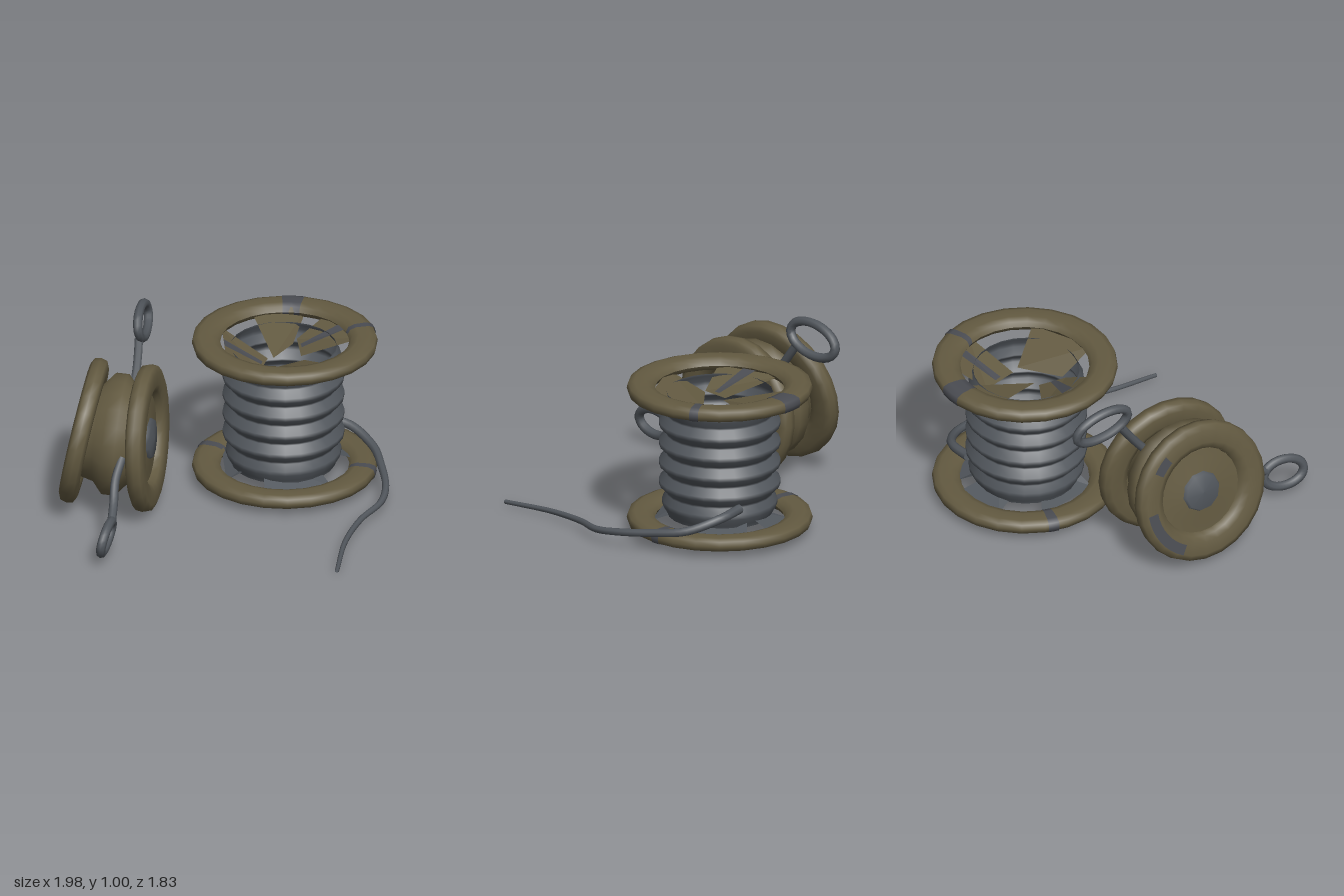
import * as THREE from 'three';

const V = (x, y, z) => new THREE.Vector3(x, y, z);
const P = (a) => a.map(([r, y]) => new THREE.Vector2(r, y));

export function createModel() {
  const model = new THREE.Group();
  const mat = (name, color) => {
    const m = new THREE.MeshStandardMaterial({ color, side: THREE.DoubleSide });
    m.name = name;
    return m;
  };
  const olive = mat('olive brass', 0x635a41);
  const grey = mat('steel grey', 0x51565c);
  const slate = mat('slate patch', 0x4a4c52);

  const add = (parent, name, geo, material) => {
    const m = new THREE.Mesh(geo, material);
    m.name = name;
    parent.add(m);
    return m;
  };

  // Closed rounded rim profile, starting on the inner face
  const rim = (ro, ri, h) => P([
    [ri, 0], [ri + 0.015, -h * 0.7], [ri + 0.05, -h], [ro - 0.04, -h], [ro - 0.008, -h * 0.7], [ro, 0],
    [ro - 0.008, h * 0.7], [ro - 0.04, h], [ri + 0.05, h], [ri + 0.015, h * 0.7], [ri, 0]]);

  // Flat four-cornered plate, facing up (1) or down (-1)
  const plate = (pts, dir) => {
    const n = pts[1].clone().sub(pts[0]).cross(pts[2].clone().sub(pts[0]));
    const p = n.y * dir < 0 ? [...pts].reverse() : pts;
    const g = new THREE.BufferGeometry().setFromPoints([p[0], p[1], p[2], p[0], p[2], p[3]]);
    g.computeVertexNormals();
    return g;
  };

  // Tube whose radius narrows along its length
  const taperTube = (pts, r0, r1, seg = 40) => {
    const curve = new THREE.CatmullRomCurve3(pts);
    const sides = 8;
    const g = new THREE.TubeGeometry(curve, seg, r0, sides);
    const pos = g.attributes.position, v = V(0, 0, 0);
    for (let i = 0; i <= seg; i++) {
      const c = curve.getPointAt(i / seg);
      const k = THREE.MathUtils.lerp(1, r1 / r0, i / seg);
      for (let j = 0; j <= sides; j++) {
        const id = i * (sides + 1) + j;
        v.fromBufferAttribute(pos, id).sub(c).multiplyScalar(k).add(c);
        pos.setXYZ(id, v.x, v.y, v.z);
      }
    }
    return g;
  };

  // Upright spool
  const spool = new THREE.Group();
  spool.name = 'spool';
  spool.position.set(0.48, 0, -0.26);
  model.add(spool);

  const rimProfile = rim(0.507, 0.352, 0.038);
  const patchProfile = rim(0.509, 0.35, 0.04);
  [['top', 0.815, [[2.36, 0.26], [1.24, 0.1]]], ['bottom', 0.068, [[0.75, 0.1], [3.7, 0.12]]]].forEach(([n, y, patches]) => {
    const r = add(spool, n + 'Rim', new THREE.LatheGeometry(rimProfile, 24), olive);
    r.position.y = y;
    patches.forEach(([start, len]) => {
      add(r, n + 'RimPatch', new THREE.LatheGeometry(patchProfile, 2, start, len), slate);
    });
  });

  // Ridged winding, open at both ends
  const ridges = [[0.285, 0.09]];
  for (let i = 0; i < 6; i++) {
    const y = 0.1 + i * 0.113, r = i === 0 || i === 5 ? 0.315 : 0.332;
    ridges.push([0.292, y + 0.01], [r, y + 0.05], [r, y + 0.075], [0.292, y + 0.112]);
  }
  ridges.push([0.29, 0.79]);
  add(spool, 'winding', new THREE.LatheGeometry(P(ridges), 24), grey).position.x = -0.008;

  // Spokes at both ends: two outer corners on the rim, two inner corners dipping into the winding
  const spokes = [
    [[-0.20, -0.33], [-0.38, 0.01], [-0.21, 0.08], [-0.09, -0.03]],
    [[0.33, -0.30], [0.03, -0.38], [-0.06, -0.02], [0.12, -0.11]],
    [[0.38, 0.18], [0.34, -0.15], [0.17, -0.15], [0.08, 0.04]],
    [[-0.30, 0.28], [0.07, 0.37], [0.07, 0.09], [-0.19, 0.08]],
  ];
  spokes.forEach((q, i) => {
    const corners = (outer, inner) => q.map(([x, z], k) => V(x, k < 2 ? outer : inner, z));
    const [a, b, c, d] = corners(0.81, 0.72);
    add(spool, 'topSpoke', plate([a, b, c, d], 1), olive);
    add(spool, 'bottomSpoke', plate(corners(0.072, 0.16), -1), grey);
    if (i % 2) return;
    const along = (s, t) => a.clone().lerp(b, s).lerp(d.clone().lerp(c, s), t).add(V(0, 0.006, 0));
    add(spool, 'spokeStripe', plate([along(0.4, 0), along(0.6, 0), along(0.6, 0.95), along(0.4, 0.95)], 1), slate);
  });

  // Loose thread end
  add(model, 'looseThread', taperTube([
    V(0.77, 0.215, -0.37), V(0.89, 0.2, -0.27), V(0.93, 0.14, -0.08), V(0.87, 0.11, 0.11), V(0.78, 0.085, 0.3),
    V(0.68, 0.065, 0.41), V(0.5, 0.05, 0.5), V(0.3, 0.035, 0.66), V(0.09, 0.015, 0.91)], 0.027, 0.012, 48), grey);

  // Tilted pulley: two flanges around a hub
  const pulley = new THREE.Group();
  pulley.name = 'pulley';
  model.add(pulley);
  const up = V(0, 1, 0);
  const front = V(-0.345, 0.402, -0.352), back = V(-0.612, 0.425, -0.575);
  const flange = (name, centre, normal) => {
    const g = new THREE.Group();
    g.name = name;
    g.position.copy(centre);
    g.quaternion.setFromUnitVectors(up, normal.normalize());
    pulley.add(g);
    add(g, 'flangeRim', new THREE.LatheGeometry(rim(0.405, 0.245, 0.05), 24), olive);
    add(g, 'flangeFace', new THREE.LatheGeometry(P([[0.27, 0.0], [0.2, 0.005], [0, 0.03]]), 20), olive);
    add(g, 'flangeBack', new THREE.LatheGeometry(P([[0, -0.02], [0.27, -0.02]]), 20), olive);
    add(g, 'axleCap', new THREE.LatheGeometry(P([[0.122, 0.005], [0.105, 0.035], [0, 0.045]]), 10), grey);
    return g;
  };
  flange('frontFlange', front, V(0.73, 0.04, 0.68));
  const backFlange = flange('backFlange', back, V(-0.76, 0.2, -0.64));
  [[2.5, 1.0], [1.5, 0.3]].forEach(([start, len]) => {
    add(backFlange, 'flangePatch', new THREE.LatheGeometry(P([[0.365, 0.053], [0.305, 0.053]]), 8, start, len), slate);
  });

  const hub = add(pulley, 'hub', new THREE.LatheGeometry(P([
    [0.25, -0.165], [0.27, -0.09], [0.335, -0.035], [0.335, 0.035], [0.27, 0.09], [0.25, 0.165]]), 20), olive);
  hub.position.copy(front).add(back).multiplyScalar(0.5);
  hub.quaternion.setFromUnitVectors(up, front.clone().sub(back).normalize());

  // Eyelets on stems
  const eyelet = (name, c, u, v) => {
    const pts = [];
    for (let i = 0; i < 12; i++) {
      const t = i * Math.PI / 6;
      pts.push(c.clone().addScaledVector(u, Math.cos(t)).addScaledVector(v, Math.sin(t)));
    }
    add(model, name, new THREE.TubeGeometry(new THREE.CatmullRomCurve3(pts, true), 32, 0.026, 8, true), grey);
  };
  eyelet('lowerEyelet', V(-0.885, 0.132, 0.1), V(-0.087, -0.005, 0.085), V(0.008, 0.078, 0.012));
  eyelet('upperEyelet', V(-0.115, 0.882, -0.765), V(0.107, -0.018, -0.122), V(-0.01, 0.088, -0.005));
  add(model, 'lowerStem', taperTube([V(-0.81, 0.17, 0.03), V(-0.74, 0.23, -0.06), V(-0.68, 0.32, -0.14), V(-0.6, 0.41, -0.2)], 0.024, 0.024, 12), grey);
  add(model, 'upperStem', taperTube([V(-0.195, 0.83, -0.68), V(-0.225, 0.76, -0.64), V(-0.27, 0.67, -0.59), V(-0.33, 0.58, -0.54)], 0.024, 0.024, 12), grey);

  return model;
}
